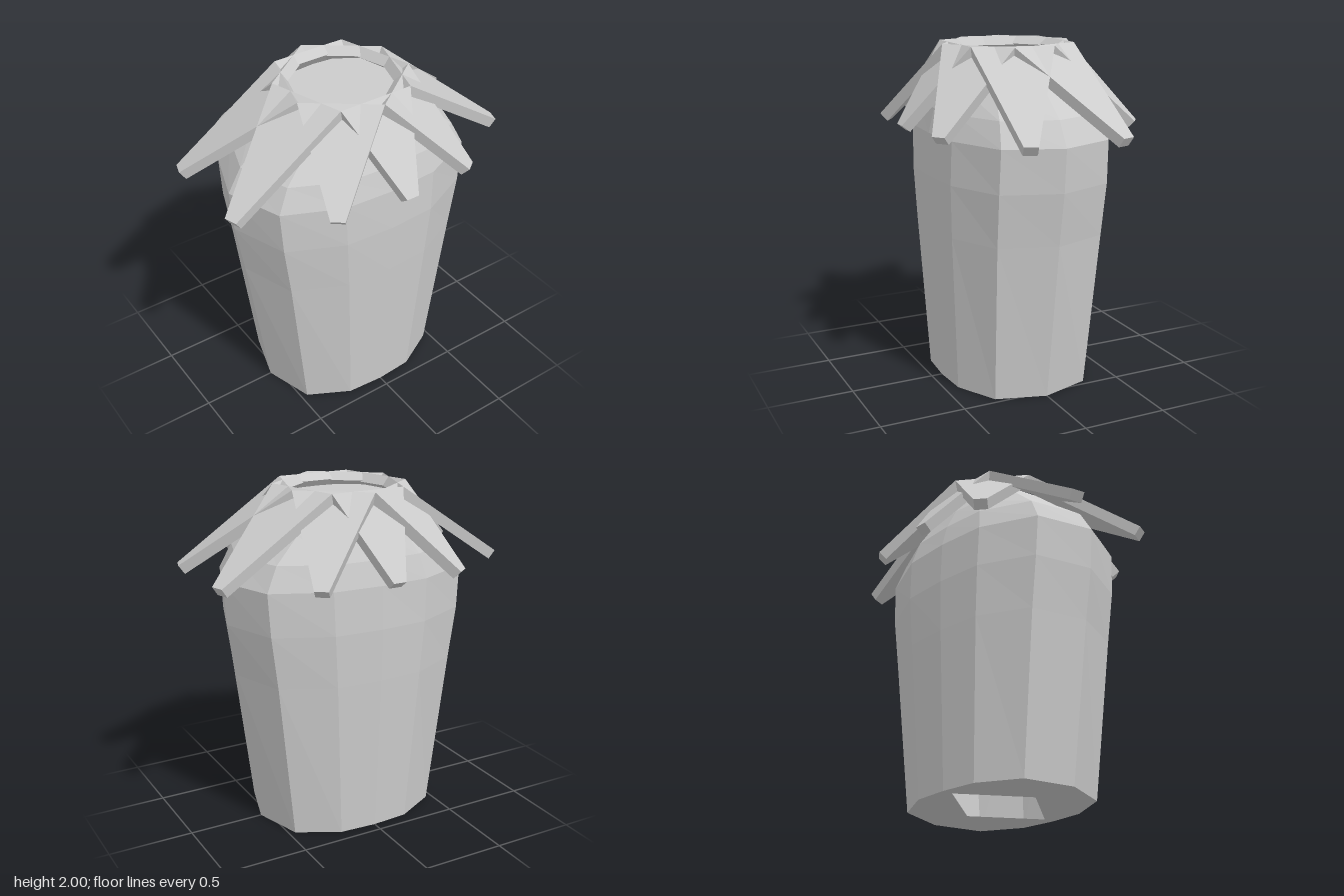
import * as THREE from 'three';

const grey = new THREE.MeshStandardMaterial({ color: 0xcccccc, flatShading: true, side: THREE.DoubleSide });

// Triangles from a point list and quads of indices
function quadMesh(name, points, quads) {
  const g = new THREE.BufferGeometry();
  g.setAttribute('position', new THREE.Float32BufferAttribute(points.flatMap(p => p.toArray()), 3));
  g.setIndex(quads.flatMap(([a, b, c, d]) => [a, b, c, a, c, d]));
  const flat = g.toNonIndexed();
  flat.computeVertexNormals();
  const m = new THREE.Mesh(flat, grey);
  m.name = name;
  return m;
}

// Twelve-sided squarish oval, mirrored from one quarter
const quarter = [[1, 0], [0.84, 0.67], [0.4, 0.965], [0, 1]];
const oval = [
  ...quarter,
  ...[2, 1, 0].map(i => [-quarter[i][0], quarter[i][1]]),
  ...[1, 2, 3].map(i => [-quarter[i][0], -quarter[i][1]]),
  ...[2, 1].map(i => [quarter[i][0], -quarter[i][1]]),
];

// Rings of the body: height, half width, half depth
const rings = [
  [0, 0.55, 0.435], [0.94, 0.675, 0.485], [1.25, 0.724, 0.497], [1.5, 0.742, 0.49],
  [1.64, 0.66, 0.455], [1.78, 0.48, 0.385], [1.93, 0.31, 0.28],
];

function cap(name, [y, rx, rz], hole) {
  const s = new THREE.Shape(oval.map(([x, z]) => new THREE.Vector2(x * rx, z * rz)));
  if (hole) s.holes.push(new THREE.Path(hole.map(([x, z]) => new THREE.Vector2(x, z))));
  const m = new THREE.Mesh(new THREE.ShapeGeometry(s).rotateX(hole ? Math.PI / 2 : -Math.PI / 2), grey);
  m.position.y = y;
  m.name = name;
  return m;
}

function bodyWall() {
  const n = oval.length, pts = [], quads = [];
  rings.forEach(([y, rx, rz], r) => oval.forEach(([x, z], i) => {
    pts.push(new THREE.Vector3(x * rx, y, z * rz));
    const j = (i + 1) % n;
    if (r) quads.push([(r - 1) * n + i, r * n + i, r * n + j, (r - 1) * n + j]);
  }));
  return quadMesh('bodyWall', pts, quads);
}

// Leaf: wide at the collar, narrow at the tip, with even thickness
function leaf(baseA, baseB, tip) {
  const across = baseB.clone().sub(baseA).normalize().multiplyScalar(0.039);
  const top = [baseA, baseB, tip.clone().add(across), tip.clone().sub(across)];
  const normal = top[1].clone().sub(top[0]).cross(top[3].clone().sub(top[0])).normalize();
  if (normal.y < 0) normal.negate();
  const under = top.map(p => p.clone().addScaledVector(normal, -0.062));
  return quadMesh('leaf', [...top, ...under],
    [[0, 3, 2, 1], [4, 5, 6, 7], [0, 1, 5, 4], [1, 2, 6, 5], [2, 3, 7, 6], [3, 0, 4, 7]]);
}

export function createModel() {
  const model = new THREE.Group();
  model.name = 'leafToppedBarrel';

  // Hollow body with a lid and a diamond opening underneath
  const body = new THREE.Group();
  body.name = 'body';
  body.add(bodyWall(), cap('lid', rings[rings.length - 1]),
    cap('bottom', rings[0], [[0.27, 0], [0, 0.37], [-0.27, 0], [0, -0.37]]));
  model.add(body);

  // Ten overlapping leaves; each spans the collar points of its two neighbours
  const leaves = new THREE.Group();
  leaves.name = 'leaves';
  const collar = [], tips = [];
  const tipPlan = [[0, 0.665], [0.447, 0.612], [0.893, 0.288]];
  for (let i = 0; i < 10; i++) {
    const a = i * Math.PI / 5, sx = Math.sign(Math.sin(a)), sz = Math.sign(Math.cos(a));
    collar.push(new THREE.Vector3(0.385 * Math.sin(a), 2, 0.398 * Math.cos(a)));
    const k = i % 5, [x, z] = tipPlan[Math.min(k, 5 - k)];
    tips.push(new THREE.Vector3(x * sx, 1.56, z * sz));
  }
  tips.forEach((t, i) => leaves.add(leaf(collar[(i + 9) % 10], collar[(i + 1) % 10], t)));
  model.add(leaves);
  return model;
}
